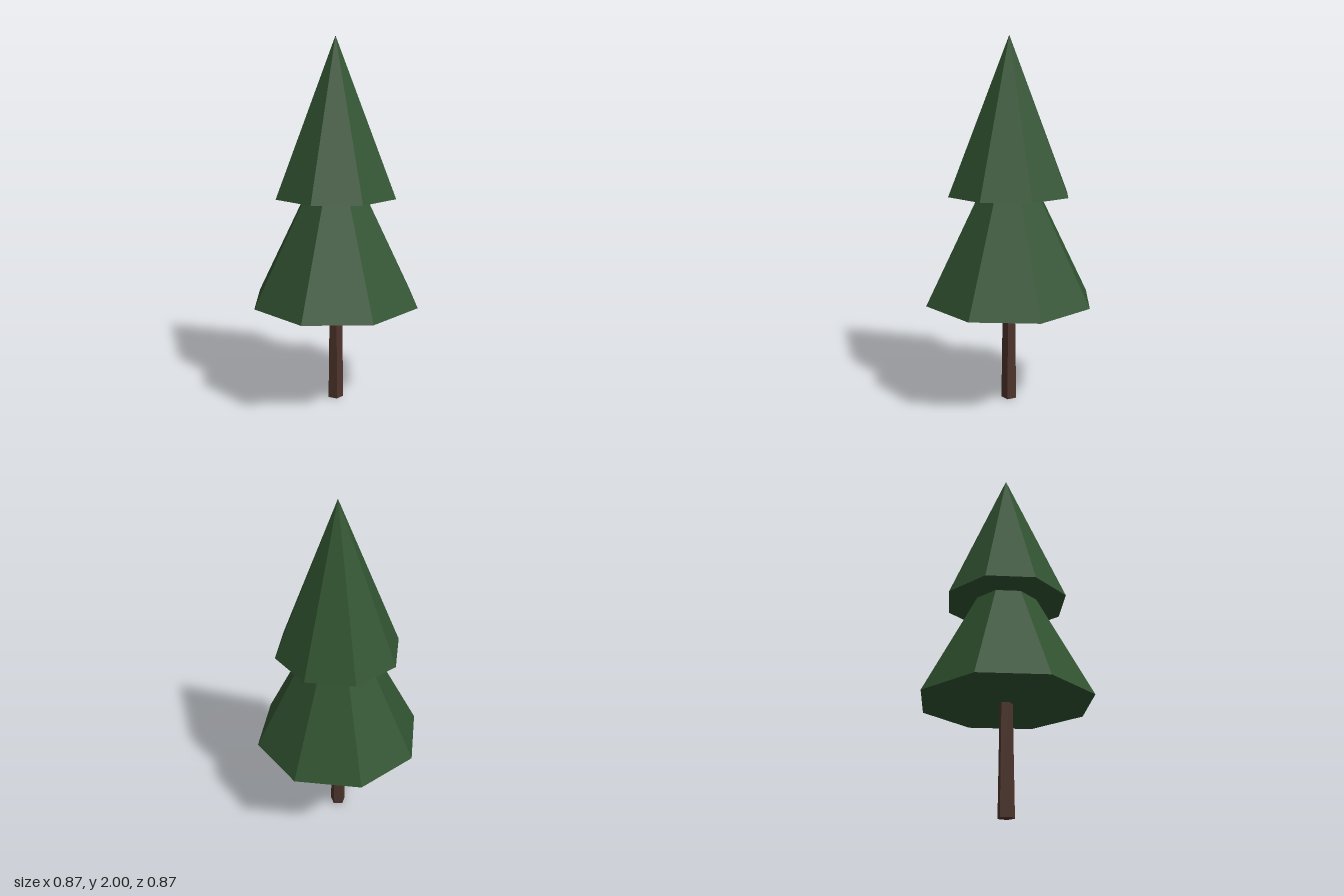
import * as THREE from 'three';

export function createModel() {
  const tree = new THREE.Group();
  tree.name = 'tree';

  const needles = new THREE.MeshStandardMaterial({ color: 0x305230, flatShading: true });
  needles.name = 'needle green';
  const bark = new THREE.MeshStandardMaterial({ color: 0x4e342c, flatShading: true });
  bark.name = 'bark brown';

  // Adds a tapered prism standing between two heights
  function addTaper(name, material, sides, rTop, rBottom, y0, y1, turn) {
    const geometry = new THREE.CylinderGeometry(rTop, rBottom, y1 - y0, sides, 1, false, turn);
    const mesh = new THREE.Mesh(geometry, material);
    mesh.name = name;
    mesh.position.y = (y0 + y1) / 2;
    tree.add(mesh);
  }

  // Five-sided trunk, flat side to the front
  addTaper('trunk', bark, 5, 0.036, 0.045, 0, 0.6, Math.PI);

  // Two eight-sided cones of foliage, flat sides on the axes
  addTaper('lowerFoliage', needles, 8, 0, 0.471, 0.583, 1.51, Math.PI / 8);
  addTaper('upperFoliage', needles, 8, 0, 0.341, 1.165, 2, Math.PI / 8);

  return tree;
}
